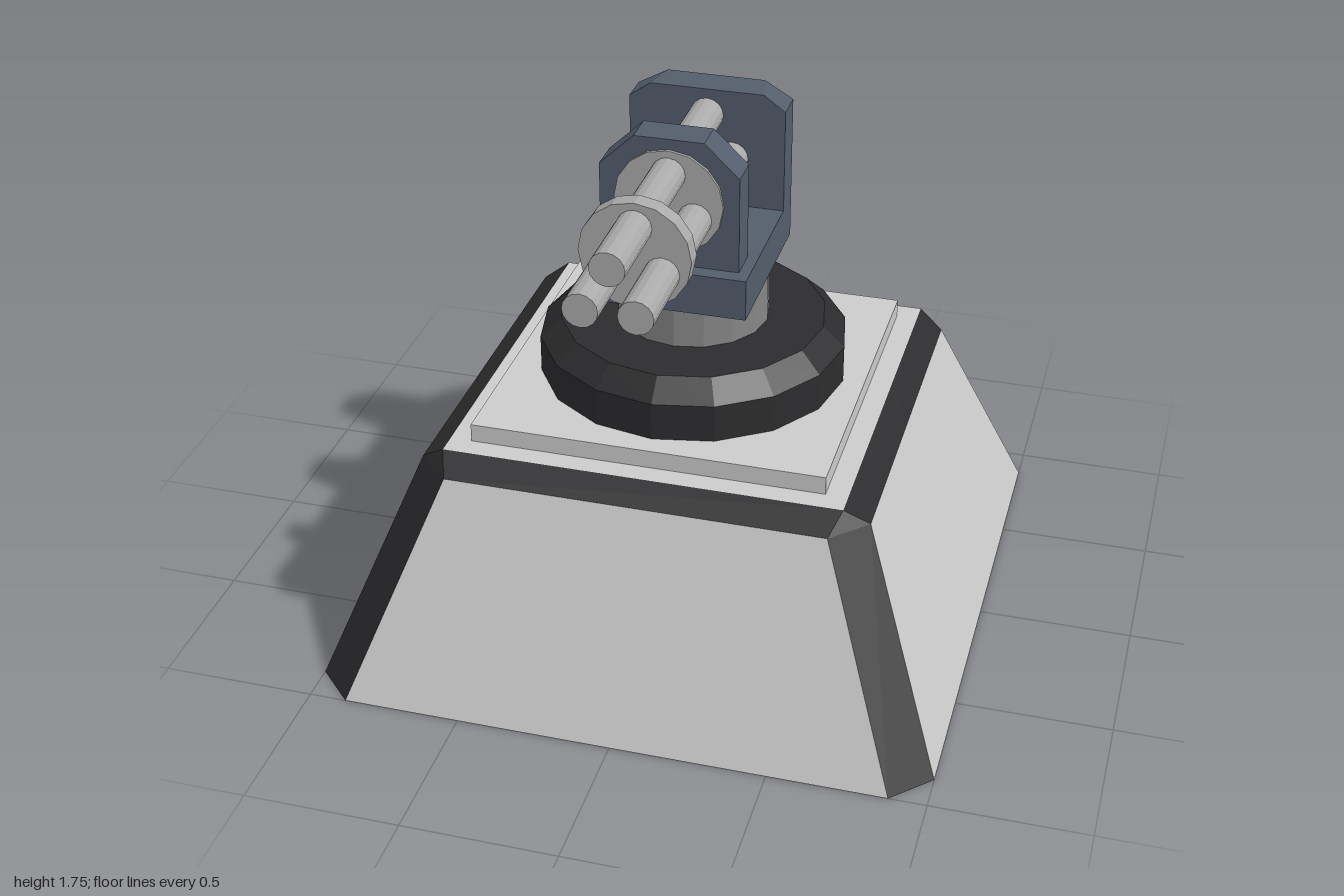
import * as THREE from 'three';
import { ConvexGeometry } from 'three/addons/geometries/ConvexGeometry.js';

const mat = (color) => new THREE.MeshStandardMaterial({ color, flatShading: true });

export function createModel() {
  const model = new THREE.Group();
  const light = mat(0xcccccc), dark = mat(0x2c2c2e), blue = mat(0x535d6b);
  const steel = mat(0x858585), barrelGrey = mat(0xaaaaaa);

  const add = (name, geometry, material, x = 0, y = 0, z = 0) => {
    const mesh = new THREE.Mesh(geometry, material);
    mesh.name = name;
    mesh.position.set(x, y, z);
    model.add(mesh);
    return mesh;
  };

  // Repeats convex polygons around the y axis, once per side of the pyramid
  const fourSided = (polygons) => {
    const pos = [], up = new THREE.Vector3(0, 1, 0);
    for (let k = 0; k < 4; k++) {
      for (const poly of polygons) {
        const p = poly.map((c) => new THREE.Vector3(...c).applyAxisAngle(up, k * Math.PI / 2));
        for (let i = 1; i < p.length - 1; i++) {
          for (const v of [p[0], p[i], p[i + 1]]) pos.push(v.x, v.y, v.z);
        }
      }
    }
    const g = new THREE.BufferGeometry();
    g.setAttribute('position', new THREE.Float32BufferAttribute(pos, 3));
    g.computeVertexNormals();
    return g;
  };

  // Convex solid from points given for +x and mirrored to -x
  const mirroredHull = (points) => new ConvexGeometry(
    points.flatMap(([x, y, z]) => [new THREE.Vector3(x, y, z), new THREE.Vector3(-x, y, z)]));

  // Pyramid base: light panels, top and underside
  const h = 0.715, top = 0.77;
  const footL = [-0.88, 0, 1], footR = [0.88, 0, 1], footSide = [1, 0, 0.88];
  const rimL = [-0.61, h, 0.72], rimR = [0.61, h, 0.72], rimSide = [0.72, h, 0.61];
  const topL = [-0.64, top, 0.64], topR = [0.64, top, 0.64];
  add('basePanels', fourSided([
    [footL, footR, rimR, rimL],
    [topL, topR, [0, top, 0]],
    [[0, 0, 0], footR, footL],
    [[0, 0, 0], footSide, footR],
  ]), light);

  // Dark corner strips and upper bevel
  add('baseTrim', fourSided([
    [footR, footSide, rimSide, rimR],
    [rimL, rimR, topR, topL],
    [rimR, rimSide, topR],
  ]), dark);

  add('topPlate', new THREE.BoxGeometry(1.14, 0.06, 1.14), light, 0, 0.8, 0);

  // Turntable with bevelled rim, and its post
  const rim = [[0, 0.83], [0.5, 0.83], [0.5, 0.955], [0.43, 1.02], [0, 1.02]];
  add('turntable', new THREE.LatheGeometry(rim.map((p) => new THREE.Vector2(...p)), 16), dark);
  add('post', new THREE.CylinderGeometry(0.245, 0.245, 0.18, 16), steel, 0, 1.11, 0);

  // Cradle: floor, chamfered rear block and front barrel holder
  add('cradleFloor', new THREE.BoxGeometry(0.51, 0.135, 0.49), blue, 0, 1.2675, 0.09);
  add('rearBlock', mirroredHull([
    [0.255, 1.2, -0.155], [0.255, 1.68, -0.155], [0.185, 1.73, -0.155],
    [0.255, 1.2, -0.26], [0.255, 1.68, -0.26], [0.16, 1.73, -0.27],
    [0.16, 1.2, -0.335], [0.16, 1.675, -0.335],
  ]), blue);
  add('barrelHolder', mirroredHull([0.175, 0.285].flatMap((z) => [
    [0.22, 1.335, z], [0.22, 1.65, z], [0.11, 1.755, z],
  ])), blue);

  // Discs clamping the barrels
  const axisY = 1.55;
  const rod = (name, r, z0, z1, x, y) => {
    const g = new THREE.CylinderGeometry(r, r, z1 - z0, 16).rotateX(Math.PI / 2);
    add(name, g, barrelGrey, x, y, (z0 + z1) / 2);
  };
  rod('holderDisc', 0.172, 0.145, 0.295, 0, axisY);
  rod('frontDisc', 0.172, 0.597, 0.653, 0, axisY);

  // Three barrels around the axis
  for (let i = 0; i < 3; i++) {
    const a = Math.PI / 2 + i * Math.PI * 2 / 3;
    rod('barrel', 0.054, -0.16, 0.92, Math.cos(a) * 0.095, axisY + Math.sin(a) * 0.095);
  }

  return model;
}
